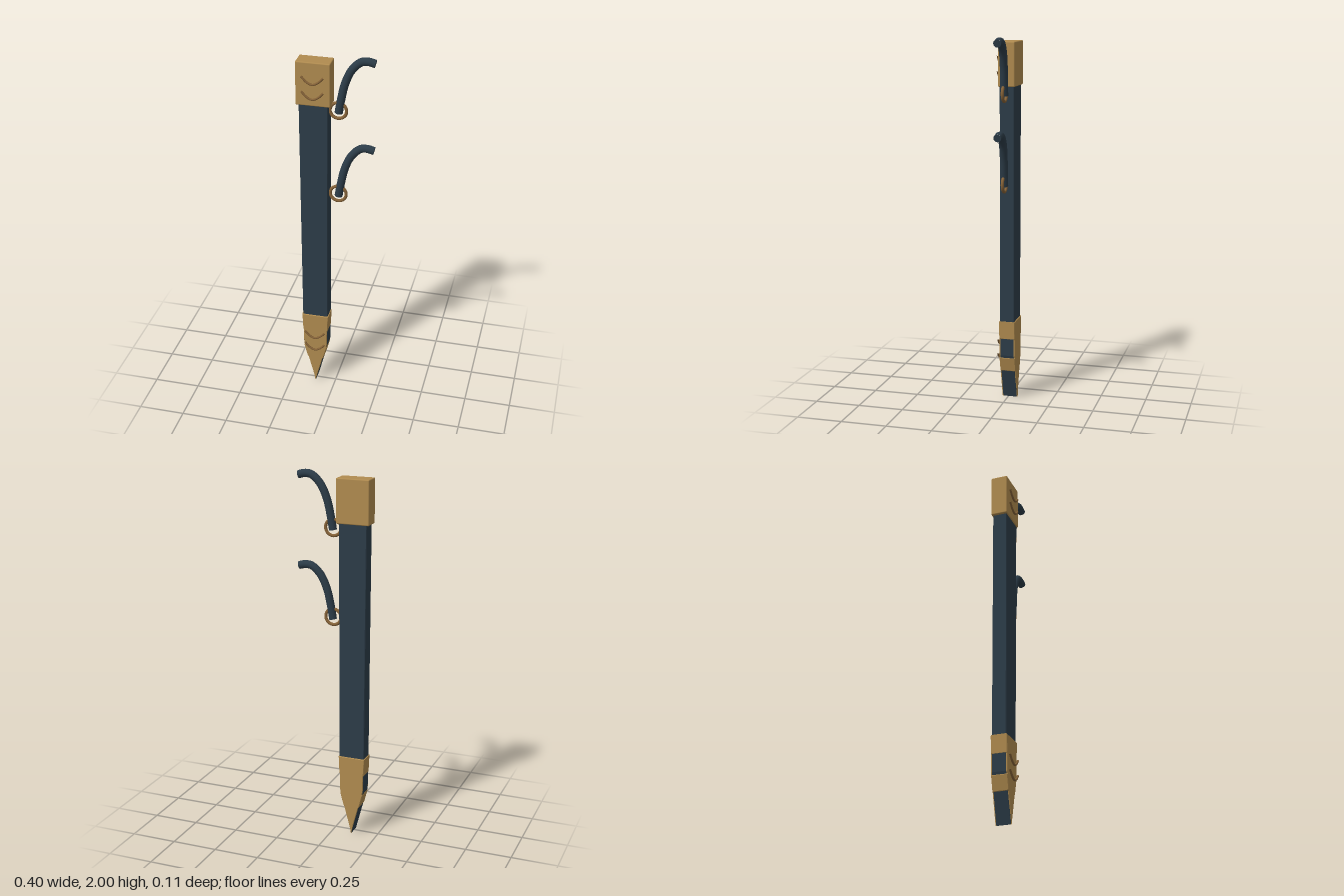
import * as THREE from 'three';
import { RoundedBoxGeometry } from 'three/addons/geometries/RoundedBoxGeometry.js';

const AXIS_X = -0.11, AXIS_Z = -0.009;

export function createModel() {
  const group = new THREE.Group();
  const material = (name, color) => Object.assign(new THREE.MeshStandardMaterial({ color }), { name });
  const leather = material('dark blue leather', 0x2c3c48);
  const brass = material('brass', 0xb08b4f);
  const bronze = material('dark bronze', 0x856238);

  const add = (name, geometry, mat, x = 0, y = 0, z = 0) => {
    const mesh = new THREE.Mesh(geometry, mat);
    mesh.name = name;
    mesh.position.set(x, y, z);
    group.add(mesh);
    return mesh;
  };

  // Symmetric blade-shaped plate from [half width, height] pairs, top to tip
  const plate = (profile, halfDepth) => {
    const right = profile.map(([w, y]) => new THREE.Vector2(w, y));
    const left = profile.slice(0, -1).map(([w, y]) => new THREE.Vector2(-w, y));
    const shape = new THREE.Shape([...left, ...right.reverse()]);
    const bevel = 0.003;
    return new THREE.ExtrudeGeometry(shape, {
      depth: 2 * (halfDepth - bevel), bevelThickness: bevel, bevelSize: bevel,
      bevelOffset: -bevel, bevelSegments: 1,
    }).translate(0, 0, bevel - halfDepth);
  };

  // Half width of the scabbard at a given height
  const halfWidth = (y) => y > 0.455 ? 0.07 + (y - 0.455) * 0.0045
    : y > 0.26 ? 0.067 + (y - 0.26) * 0.0154
    : 0.067 * (y - 0.004) / 0.256;

  // Leather body, running down to the tip
  const body = [1.9, 0.455, 0.26, 0.004].map((y) => [halfWidth(y), y]);
  add('scabbardBody', plate(body, 0.039), leather, AXIS_X, 0, AXIS_Z);

  // Tip mount: dips under the leather in two bands along each narrow edge
  const chape = [
    [0.455, 0.004], [0.357, 0.001], [0.353, -0.0015], [0.26, -0.0015], [0.248, -0.0015],
    [0.243, 0.002], [0.168, 0.002], [0.163, -0.0015], [0.012, -0.0015], [0.004, 0],
  ].map(([y, offset]) => [Math.max(0, halfWidth(y) + offset), y]);
  add('tipMount', plate(chape, 0.044), brass, AXIS_X, 0, AXIS_Z);

  // Throat mount
  add('throatMount', new RoundedBoxGeometry(0.18, 0.235, 0.092, 2, 0.006), brass, AXIS_X, 1.8525, AXIS_Z);

  // Curved ornaments on the front of both mounts
  const arc = new THREE.CatmullRomCurve3([
    [-0.057, 0.04, 0.045], [-0.03, 0.013, 0.0465], [0, 0, 0.0475],
    [0.03, 0.013, 0.0465], [0.057, 0.04, 0.045],
  ].map((p) => new THREE.Vector3(...p)));
  for (const y of [1.857, 1.776, 0.31, 0.23]) {
    add('frontOrnament', new THREE.TubeGeometry(arc, 20, 0.006, 8), bronze, AXIS_X, y, 0);
  }

  // Suspension rings with their hanging straps
  const strap = new THREE.CatmullRomCurve3([
    [0.002, -0.012, -0.009], [0.014, 0.06, -0.010], [0.034, 0.15, -0.014],
    [0.068, 0.225, -0.018], [0.115, 0.269, -0.021], [0.15, 0.274, -0.021], [0.186, 0.266, -0.021],
  ].map((p) => new THREE.Vector3(...p)));
  for (const y of [1.705, 1.227]) {
    add('suspensionRing', new THREE.TorusGeometry(0.043, 0.0085, 10, 32), bronze, 0.011, y, AXIS_Z);
    add('hangingStrap', new THREE.TubeGeometry(strap, 40, 0.021, 14), leather, 0.011, y, 0);
    // Flat end caps
    for (const t of [0, 1]) {
      const cap = add('strapEnd', new THREE.CircleGeometry(0.021, 14), leather);
      const dir = strap.getTangentAt(t).multiplyScalar(t ? 1 : -1);
      cap.position.copy(strap.getPointAt(t)).add(new THREE.Vector3(0.011, y, 0));
      cap.quaternion.setFromUnitVectors(new THREE.Vector3(0, 0, 1), dir);
    }
  }
  return group;
}
